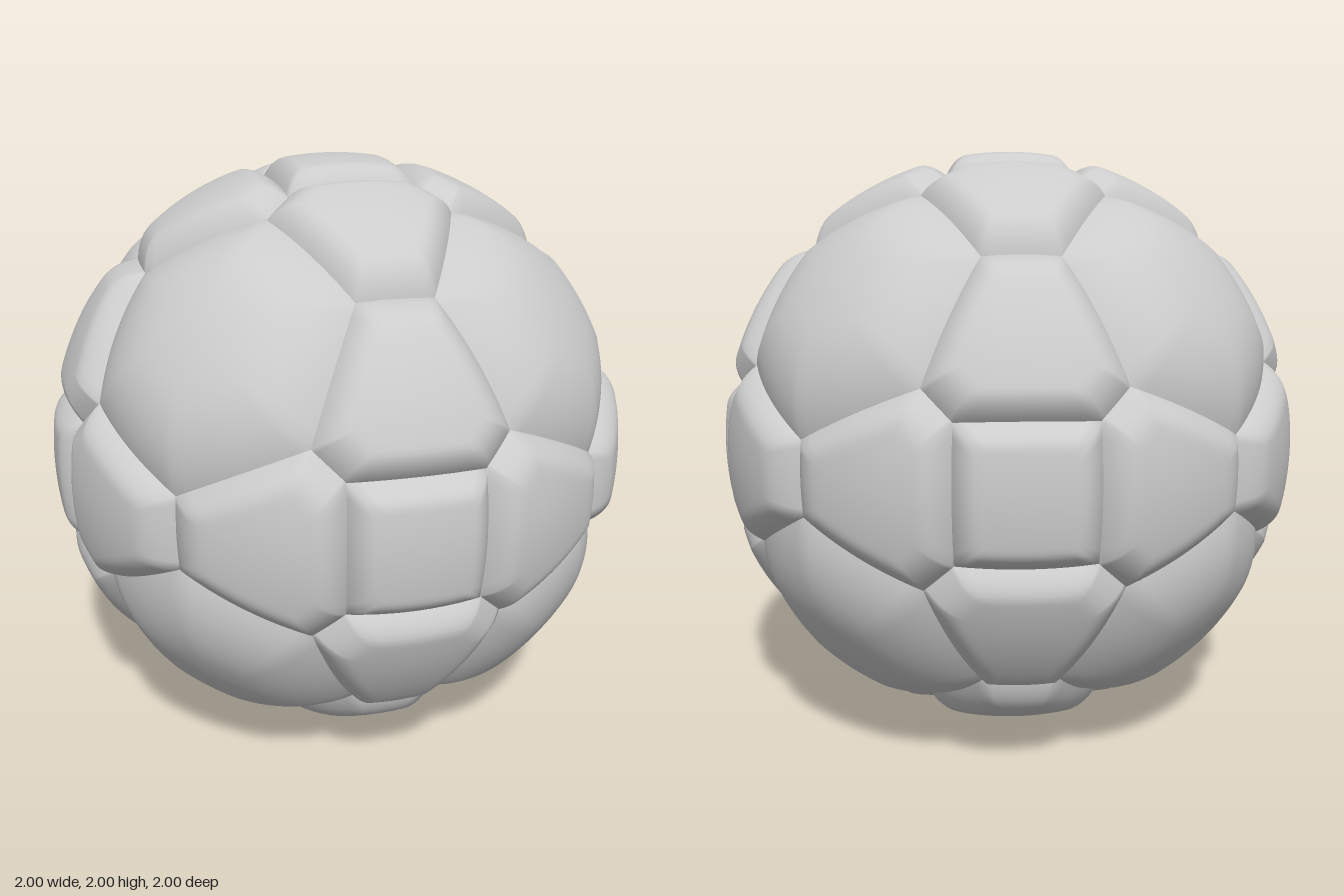
import * as THREE from 'three';

const VALLEY = 0.945;   // radius at the seams
const CROWN = 1.0;      // radius on top of each panel
const EDGE_STEPS = 10;
const RINGS = 16;

const V = (x, y, z) => new THREE.Vector3(x, y, z);

// Cushioned spherical panel: rings shrink from the seam outline to the centre,
// staying at the crown radius until `start`, then rolling down to the seam.
function panelGeometry(corners, start, power) {
  const dirs = corners.map(c => c.clone().normalize());
  const centre = dirs.reduce((sum, d) => sum.add(d), V(0, 0, 0)).normalize();
  const outline = [];
  dirs.forEach((d, i) => {
    const next = dirs[(i + 1) % dirs.length];
    for (let k = 0; k < EDGE_STEPS; k++) {
      outline.push(d.clone().lerp(next, k / EDGE_STEPS).normalize());
    }
  });

  const n = outline.length;
  const positions = [...centre.clone().multiplyScalar(CROWN).toArray()];
  const index = [];
  for (let r = 1; r <= RINGS; r++) {
    const t = 1 - Math.pow(1 - r / RINGS, 1.3);   // denser rings near the seam
    const s = Math.max(0, (t - start) / (1 - start));
    const radius = CROWN - (CROWN - VALLEY) * Math.pow(s, power);
    for (let i = 0; i < n; i++) {
      const p = centre.clone().lerp(outline[i], t).normalize().multiplyScalar(radius);
      positions.push(p.x, p.y, p.z);
      const j = (i + 1) % n;
      const a = 1 + (r - 1) * n + i, b = 1 + (r - 1) * n + j;
      if (r === 1) index.push(0, a, b);
      else index.push(a - n, a, b, a - n, b, b - n);
    }
  }
  const geometry = new THREE.BufferGeometry();
  geometry.setAttribute('position', new THREE.Float32BufferAttribute(positions, 3));
  geometry.setIndex(index);
  geometry.computeVertexNormals();
  return geometry;
}

export function createModel() {
  const model = new THREE.Group();
  model.name = 'panelledBall';
  const ball = new THREE.Group();
  ball.name = 'panels';
  ball.position.y = 1;
  model.add(ball);

  const grey = new THREE.MeshStandardMaterial({ color: 0xcccccc });
  grey.name = 'grey';

  const addPanel = (name, corners, start, power) => {
    const mesh = new THREE.Mesh(panelGeometry(corners, start, power), grey);
    mesh.name = name;
    ball.add(mesh);
  };

  // Six axis directions, each with a square panel and four tapered panels round it
  const axes = [V(1, 0, 0), V(0, 1, 0), V(0, 0, 1)];
  for (let a = 0; a < 3; a++) {
    for (const sign of [1, -1]) {
      const n = axes[a].clone().multiplyScalar(sign);
      const u = axes[(a + 1) % 3];
      const v = n.clone().cross(u);
      const place = (e, w) => ([x, y, z]) => V(0, 0, 0)
        .addScaledVector(e, x).addScaledVector(w, y).addScaledVector(n, z);

      addPanel('squarePanel', [
        [0.21, -0.21, 0.897], [0.21, 0.21, 0.897],
        [-0.21, 0.21, 0.897], [-0.21, -0.21, 0.897],
      ].map(place(u, v)), 0.65, 1.8);

      for (let q = 0; q < 4; q++) {
        const e = u.clone().applyAxisAngle(n, q * Math.PI / 2);
        const w = n.clone().cross(e);
        addPanel('taperedPanel', [
          [0.21, -0.21, 0.897], [0.3, -0.3, 0.845], [0.66, -0.12, 0.66],
          [0.66, 0.12, 0.66], [0.3, 0.3, 0.845], [0.21, 0.21, 0.897],
        ].map(place(e, w)), 0.62, 1.8);
      }
    }
  }

  // Eight large hexagons on the diagonals, mirrored into every octant
  const hexagon = [
    [0.845, 0.3, 0.3], [0.66, 0.66, 0.12], [0.3, 0.845, 0.3],
    [0.12, 0.66, 0.66], [0.3, 0.3, 0.845], [0.66, 0.12, 0.66],
  ];
  for (const sx of [1, -1]) for (const sy of [1, -1]) for (const sz of [1, -1]) {
    const corners = hexagon.map(([x, y, z]) => V(x * sx, y * sy, z * sz));
    if (sx * sy * sz < 0) corners.reverse();
    addPanel('hexagonPanel', corners, 0.35, 2);
  }

  return model;
}
